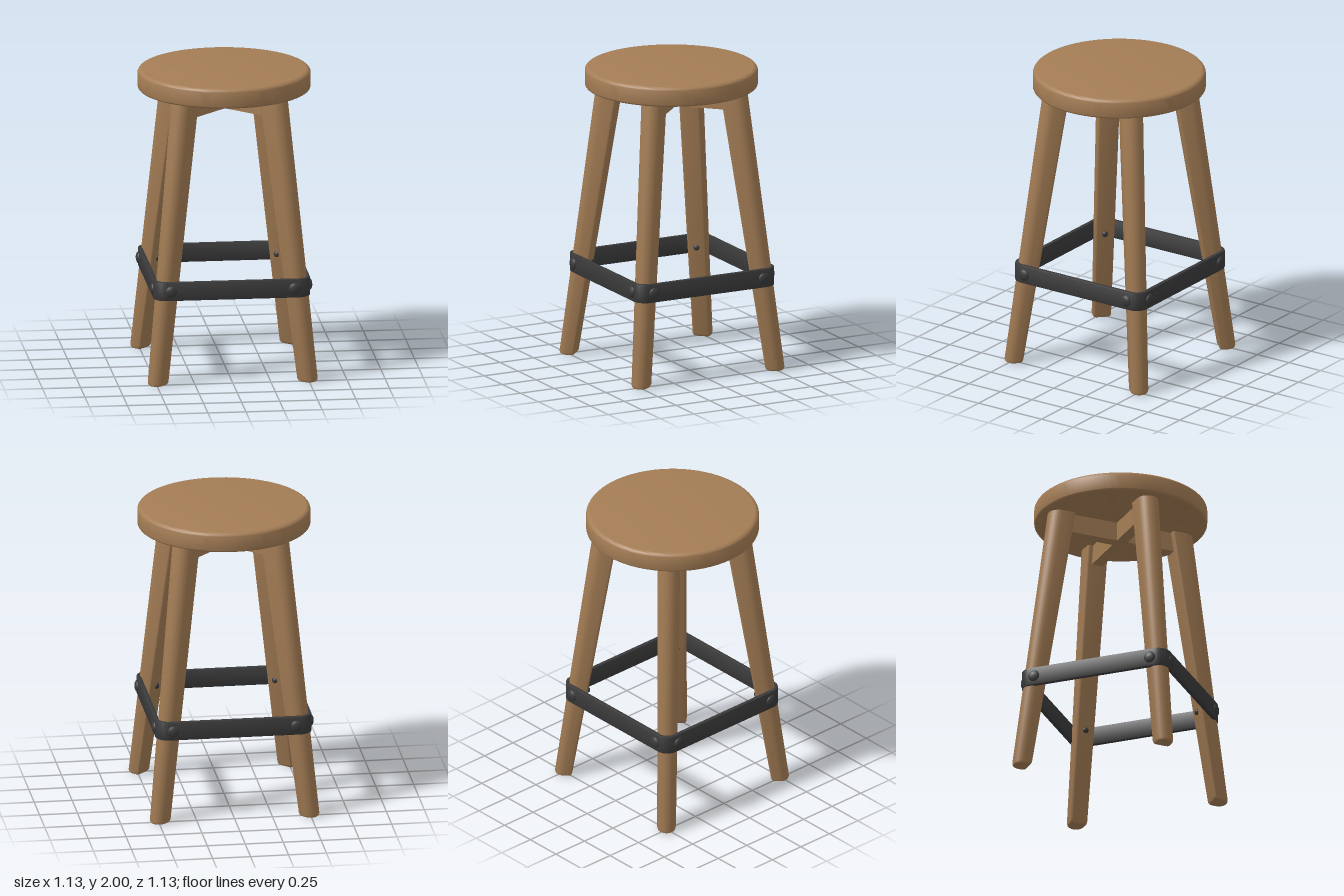
import * as THREE from 'three';
import { toCreasedNormals } from 'three/addons/utils/BufferGeometryUtils.js';

const wood = new THREE.MeshStandardMaterial({ color: 0xa47d55 });
wood.name = 'wood';
const iron = new THREE.MeshStandardMaterial({ color: 0x3a3a3b });
iron.name = 'dark iron';

function add(parent, name, geometry, material) {
  const mesh = new THREE.Mesh(geometry, material);
  mesh.name = name;
  parent.add(mesh);
  return mesh;
}

// Leg section: half-round outside, softly cornered flat inside.
// inner/outer are distances from the stool's axis, a is half the width.
function legSection(inner, outer, a) {
  const points = [];
  const arc = (cx, cz, r, from, to, steps) => {
    for (let i = 0; i <= steps; i++) {
      const t = from + (to - from) * i / steps;
      points.push([cx + r * Math.cos(t), cz + r * Math.sin(t)]);
    }
  };
  const c = 0.014, h = Math.PI / 2;
  arc(outer - a, 0, a, -h, h, 16);
  arc(inner + c, a - c, c, h, 2 * h, 3);
  arc(inner + c, c - a, c, 2 * h, 3 * h, 3);
  return points;
}

// Splayed, tapered leg lofted through horizontal sections
function legGeometry() {
  const top = 1.89;
  const levels = [[0.004, 0.014], [0.01, 0.005], [0.024, 0], [top, 0]]; // height, inset
  const rings = levels.map(([y, inset]) => {
    const t = y / top, mix = THREE.MathUtils.lerp;
    return legSection(mix(0.654, 0.342, t) + inset, mix(0.767, 0.507, t) - inset, mix(0.06, 0.073, t) - inset)
      .map(([x, z]) => [x, y, z]);
  });
  const n = rings[0].length, index = [];
  for (let k = 0; k < rings.length - 1; k++) {
    for (let i = 0; i < n; i++) {
      const a = k * n + i, b = k * n + (i + 1) % n;
      index.push(a, a + n, b, b, a + n, b + n);
    }
  }
  const last = (rings.length - 1) * n;
  for (let i = 1; i < n - 1; i++) {
    index.push(0, i, i + 1, last, last + i + 1, last + i);
  }
  const g = new THREE.BufferGeometry();
  g.setAttribute('position', new THREE.Float32BufferAttribute(rings.flat(2), 3));
  g.setIndex(index);
  return toCreasedNormals(g, 0.6);
}

// Rounded square outline for the foot band
function roundedSquare(path, s, r) {
  const c = s - r, h = Math.PI / 2;
  path.moveTo(s, -c);
  path.absarc(c, c, r, 0, h);
  path.absarc(-c, c, r, h, 2 * h);
  path.absarc(-c, -c, r, 2 * h, 3 * h);
  path.absarc(c, -c, r, 3 * h, 4 * h);
  return path;
}

// Seat disc with eased edges
function seatGeometry() {
  const R = 0.565, points = [new THREE.Vector2(0, 1.868)];
  const edge = (y, r, from) => {
    for (let i = 0; i <= 6; i++) {
      const t = from + (Math.PI / 2) * i / 6;
      points.push(new THREE.Vector2(R - r + r * Math.cos(t), y + r * Math.sin(t)));
    }
  };
  edge(1.868 + 0.018, 0.018, -Math.PI / 2);
  edge(2 - 0.03, 0.03, 0);
  points.push(new THREE.Vector2(0, 2));
  return toCreasedNormals(new THREE.LatheGeometry(points, 72), 0.6);
}

// Shallow domed bolt head pointing along +y
function boltGeometry(r, h) {
  const profile = [[r, 0], [r, h * 0.3], [r * 0.85, h * 0.6], [r * 0.5, h * 0.9], [0, h]];
  return new THREE.LatheGeometry(profile.map(([x, y]) => new THREE.Vector2(x, y)), 18);
}

export function createModel() {
  const stool = new THREE.Group();
  stool.name = 'stool';
  add(stool, 'seat', seatGeometry(), wood);

  const base = new THREE.Group();
  base.name = 'base';
  base.position.z = -0.005;
  stool.add(base);

  // Crossed rails under the seat
  for (const side of [1, -1]) {
    const rail = add(base, 'crossRail', new THREE.BoxGeometry(0.8, 0.135, 0.075), wood);
    rail.position.y = 1.8075;
    rail.rotation.y = side * Math.PI / 4;
  }

  // Flat iron foot band wrapping the legs
  const outline = roundedSquare(new THREE.Shape(), 0.515, 0.085);
  outline.holes.push(roundedSquare(new THREE.Path(), 0.486, 0.056));
  const bevel = 0.006;
  const band = new THREE.ExtrudeGeometry(outline, {
    depth: 0.125 - 2 * bevel, curveSegments: 10, bevelEnabled: true,
    bevelThickness: bevel, bevelSize: bevel, bevelOffset: -bevel, bevelSegments: 2,
  });
  band.rotateX(-Math.PI / 2);
  add(base, 'footBand', toCreasedNormals(band, 0.6), iron).position.y = 0.57 + bevel;

  // Four legs, each with two outer bolts and one inner nut
  const leg = legGeometry(), bolt = boltGeometry(0.038, 0.02), nut = boltGeometry(0.02, 0.018);
  for (let k = 0; k < 4; k++) {
    const corner = new THREE.Group();
    corner.name = 'legAssembly';
    corner.rotation.y = k * Math.PI / 2;
    base.add(corner);

    add(corner, 'leg', leg, wood).rotation.y = -Math.PI / 4;

    const boltX = add(corner, 'bolt', bolt, iron);
    boltX.position.set(0.513, 0.632, 0.405);
    boltX.rotation.z = -Math.PI / 2;
    const boltZ = add(corner, 'bolt', bolt, iron);
    boltZ.position.set(0.405, 0.632, 0.513);
    boltZ.rotation.x = Math.PI / 2;

    const inner = new THREE.Group();
    inner.name = 'innerNut';
    inner.rotation.y = -Math.PI / 4;
    corner.add(inner);
    const nutMesh = add(inner, 'nut', nut, iron);
    nutMesh.position.set(0.553, 0.632, 0);
    nutMesh.rotation.z = Math.PI / 2;
  }
  return stool;
}
